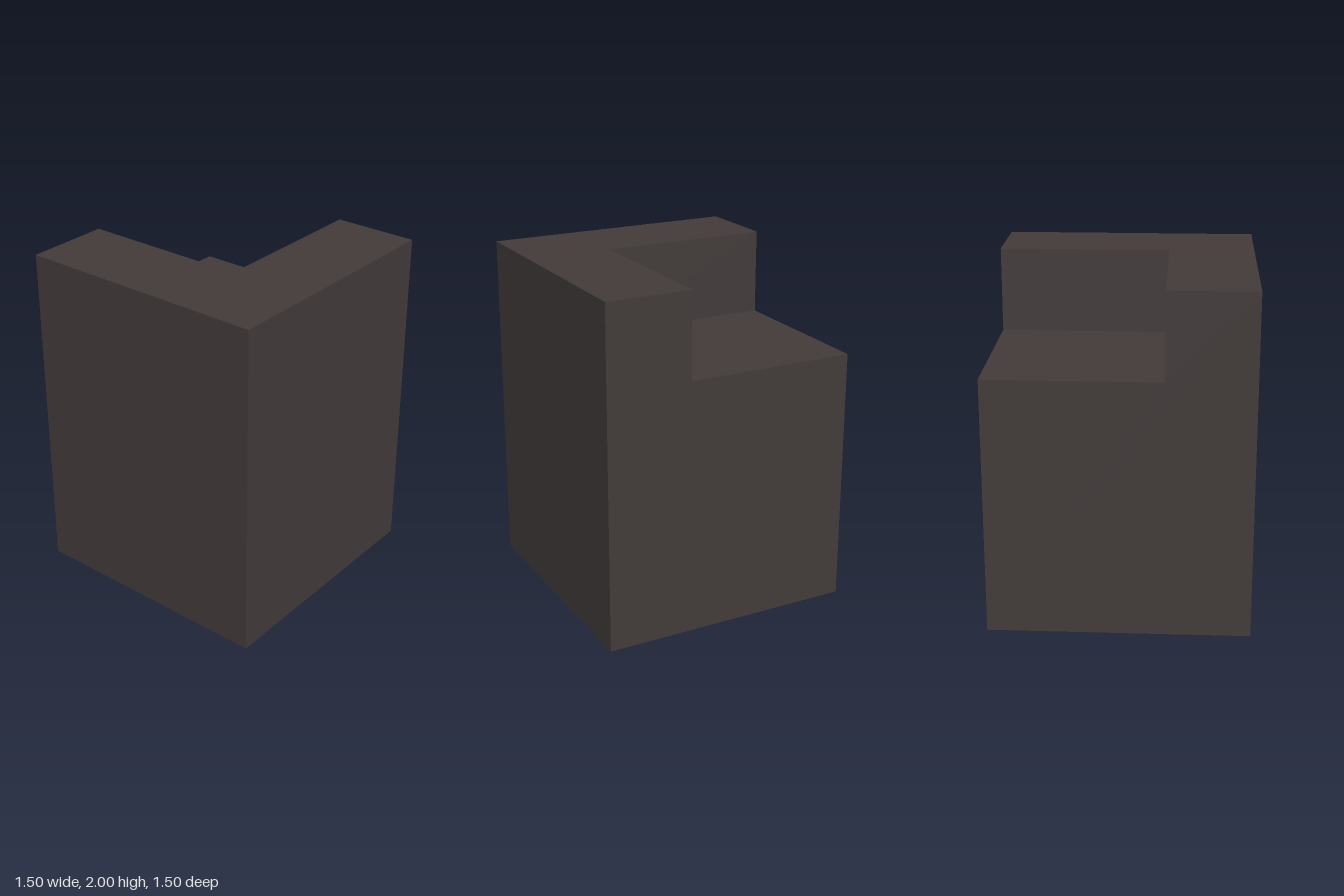
import * as THREE from 'three';

const H = 0.75;      // half width of the block
const C = 0.25;      // where the corner notch ends
const TOP = 2;
const STEP = 1.5;    // height of the notch floor

const rect = (x0, y0, x1, y1) => [[x0, y0], [x1, y0], [x1, y1], [x0, y1]];

export function createModel() {
  const group = new THREE.Group();
  group.name = 'notchedBlock';

  const charcoal = new THREE.MeshStandardMaterial({ color: 0x423b3a });
  charcoal.name = 'charcoal';

  // One flat face: outline drawn facing +z, then turned and moved into place
  function face(name, outline, rotation, position) {
    const shape = new THREE.Shape(outline.map(([x, y]) => new THREE.Vector2(x, y)));
    const mesh = new THREE.Mesh(new THREE.ShapeGeometry(shape), charcoal);
    mesh.name = name;
    mesh.rotation.set(...rotation);
    mesh.position.set(...position);
    group.add(mesh);
  }

  const q = Math.PI / 2;
  const toRight = [0, q, 0], toLeft = [0, -q, 0], toBack = [0, 2 * q, 0];
  const up = [-q, 0, 0], down = [q, 0, 0];

  // Plain outer faces
  face('frontFace', rect(-H, 0, H, TOP), [0, 0, 0], [0, 0, H]);
  face('sideFace', rect(-H, 0, H, TOP), toRight, [H, 0, 0]);
  face('baseFace', rect(-H, -H, H, H), down, [0, 0, 0]);

  // L-shaped faces cut by the notch
  face('backFace', [[-H, 0], [H, 0], [H, STEP], [-C, STEP], [-C, TOP], [-H, TOP]],
    toBack, [0, 0, -H]);
  face('notchedSideFace', [[-H, 0], [H, 0], [H, TOP], [C, TOP], [C, STEP], [-H, STEP]],
    toLeft, [-H, 0, 0]);
  face('topFace', [[-H, -H], [H, -H], [H, H], [C, H], [C, -C], [-H, -C]],
    up, [0, TOP, 0]);

  // Inside of the notch
  face('notchFloor', rect(-H, -C, C, H), up, [0, STEP, 0]);
  face('notchSideWall', rect(-H, STEP, C, TOP), toLeft, [C, 0, 0]);
  face('notchFrontWall', rect(-C, STEP, H, TOP), toBack, [0, 0, C]);

  return group;
}
